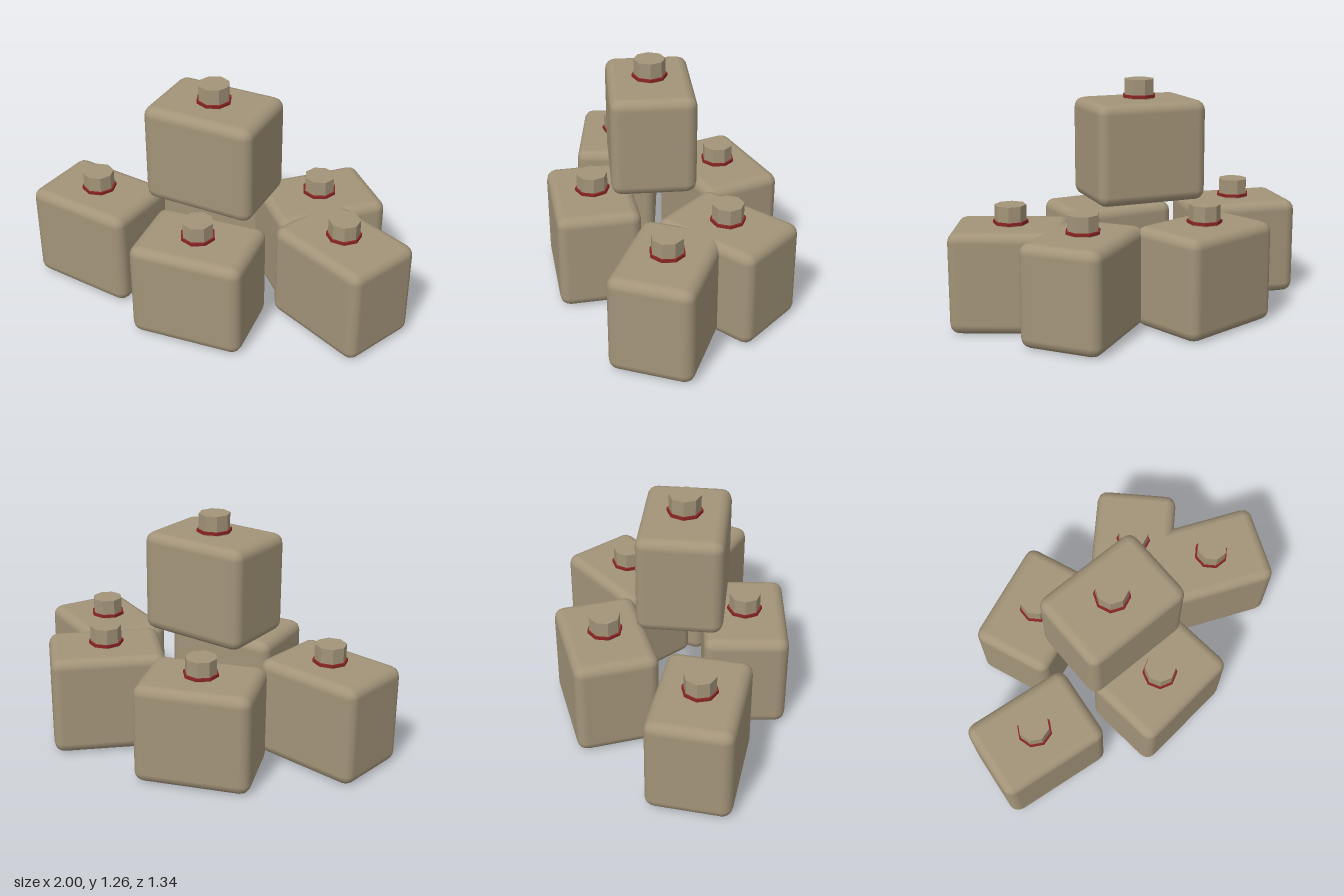
import * as THREE from 'three';
import { RoundedBoxGeometry } from 'three/addons/geometries/RoundedBoxGeometry.js';

const WIDTH = 0.61, HEIGHT = 0.54, DEPTH = 0.445;

// x, base y, z, turn about y
const PLACES = [
  [-0.695, 0, 0.30, 0],
  [-0.32, 0, -0.28, 0.485],
  [0.34, 0, -0.32, 0.9],
  [0.655, 0, -0.015, -0.29],
  [0.03, 0, 0.40, 0.21],
  [-0.07, 0.62, 0.09, 0.11],
];

export function createModel() {
  const model = new THREE.Group();
  model.name = 'canisterPile';

  const tan = new THREE.MeshStandardMaterial({ color: 0xa39479 });
  const tanFlat = new THREE.MeshStandardMaterial({ color: 0xa39479, flatShading: true });
  const red = new THREE.MeshStandardMaterial({ color: 0x8a2424, flatShading: true });

  const bodyGeometry = new RoundedBoxGeometry(WIDTH, HEIGHT, DEPTH, 2, 0.055);
  const capGeometry = new THREE.CylinderGeometry(0.083, 0.083, 0.11, 8);
  const sealGeometry = new THREE.CylinderGeometry(0.093, 0.093, 0.016, 8);

  const addPart = (parent, name, geometry, material, y) => {
    const mesh = new THREE.Mesh(geometry, material);
    mesh.name = name;
    mesh.position.y = y;
    parent.add(mesh);
  };

  // Rounded canister with an eight-sided cap and a red seal
  PLACES.forEach(([x, y, z, turn], i) => {
    const canister = new THREE.Group();
    canister.name = `canister${i + 1}`;
    addPart(canister, 'body', bodyGeometry, tan, HEIGHT / 2);
    addPart(canister, 'cap', capGeometry, tanFlat, 0.59);
    addPart(canister, 'seal', sealGeometry, red, 0.555);
    canister.position.set(x, y, z);
    canister.rotation.y = turn;
    model.add(canister);
  });

  return model;
}
